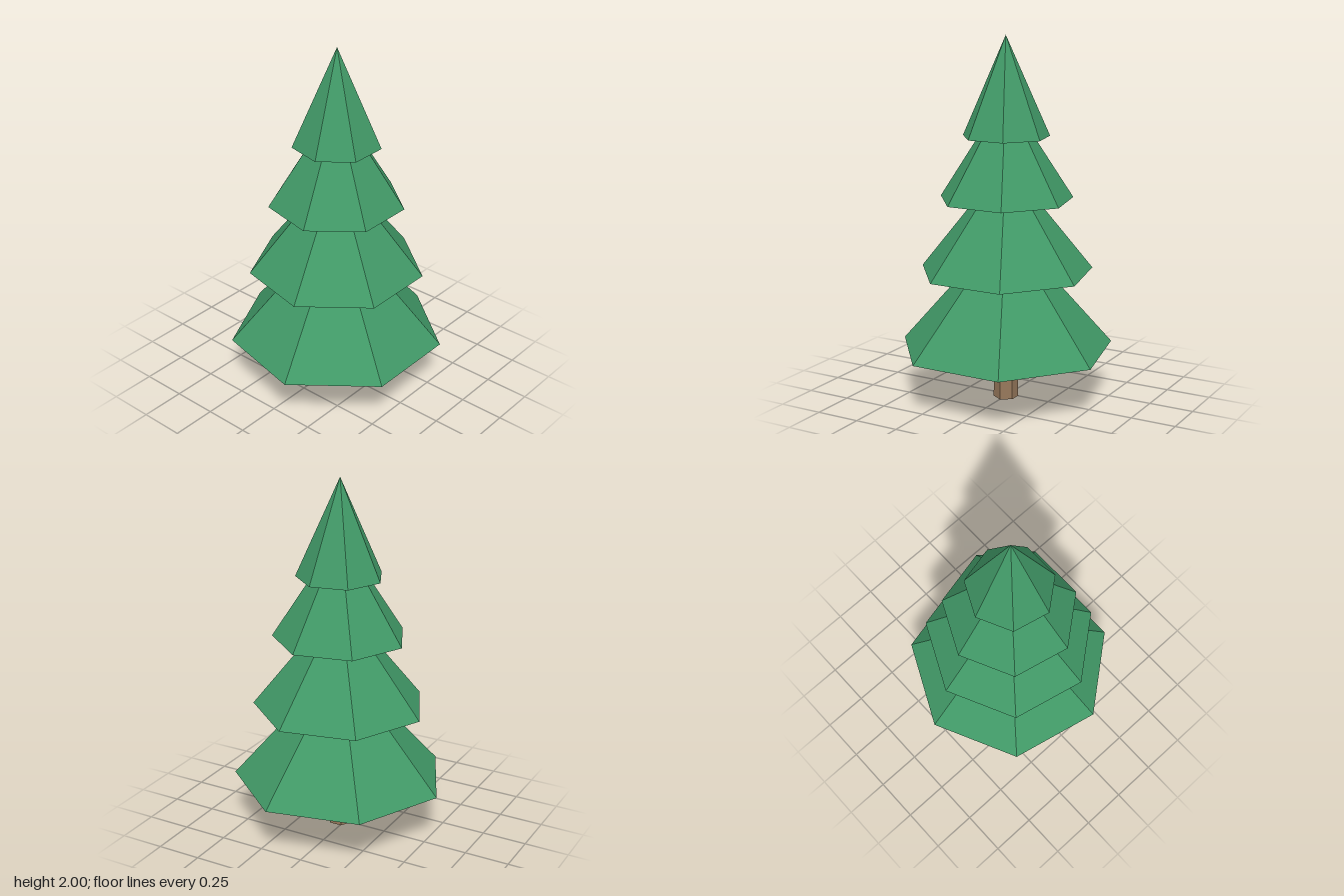
import * as THREE from 'three';

const CENTRE_Z = 0.03; // the tree's axis sits slightly forward of the footprint centre

const foliageGreen = new THREE.MeshStandardMaterial({ color: 0x419967 });
const barkBrown = new THREE.MeshStandardMaterial({ color: 0x95775a });

// Faceted (possibly tapered) prism from y0 to y1 with a flat normal per face
function faceted(name, material, { rTop, rBottom, y0, y1, sides, turn }) {
  const geometry = new THREE.CylinderGeometry(
    rTop, rBottom, y1 - y0, sides, 1, false, turn
  ).toNonIndexed();
  geometry.computeVertexNormals();
  const mesh = new THREE.Mesh(geometry, material);
  mesh.name = name;
  mesh.position.set(0, (y0 + y1) / 2, CENTRE_Z);
  return mesh;
}

export function createModel() {
  const tree = new THREE.Group();
  tree.name = 'pineTree';

  // Six-sided tapering trunk, running up into the lowest tier
  tree.add(faceted('trunk', barkBrown, {
    rTop: 0.056, rBottom: 0.069, y0: 0, y1: 0.42, sides: 6, turn: 0,
  }));

  // Seven-sided cones, each apex hidden inside the tier above: [radius, base, apex]
  const tiers = [
    [0.598, 0.29, 0.975],
    [0.484, 0.72, 1.325],
    [0.372, 1.12, 1.695],
    [0.241, 1.46, 2.0],
  ];
  tiers.forEach(([radius, base, apex], i) => {
    tree.add(faceted(`foliageTier${i + 1}`, foliageGreen, {
      rTop: 0, rBottom: radius, y0: base, y1: apex, sides: 7, turn: Math.PI,
    }));
  });

  return tree;
}
